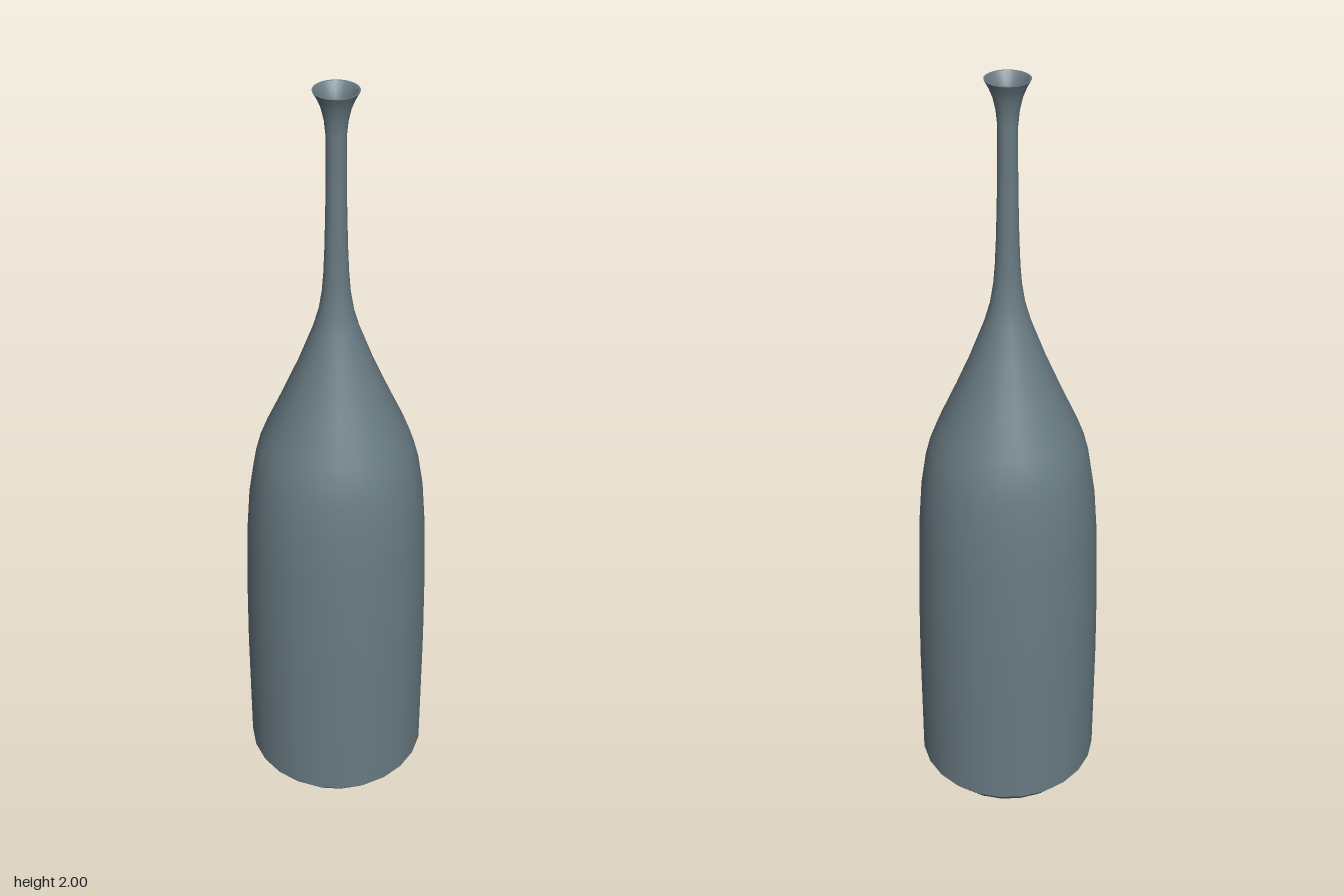
import * as THREE from 'three';

const SIDES = 24;

export function createModel() {
  const bottle = new THREE.Group();
  bottle.name = 'bottle';
  const glass = new THREE.MeshStandardMaterial({ color: 0x687a82 });
  glass.name = 'slate glass';

  // Each profile is a list of [radius, height]; separate lathes keep their shared edges sharp
  const turn = (name, profile) => {
    const points = profile.map(([r, y]) => new THREE.Vector2(r, y));
    const mesh = new THREE.Mesh(new THREE.LatheGeometry(points, SIDES), glass);
    mesh.name = name;
    bottle.add(mesh);
  };

  const outer = [
    [0.24, 0.045], [0.24, 0.4], [0.237, 0.6], [0.23, 0.8], [0.221, 0.92],
    [0.207, 1.01], [0.194, 1.06], [0.175, 1.11], [0.135, 1.2], [0.093, 1.3],
    [0.056, 1.4], [0.042, 1.45], [0.034, 1.5], [0.03, 1.55], [0.027, 1.62],
    [0.024, 1.75], [0.023, 1.89], [0.027, 1.93], [0.034, 1.96],
    [0.043, 1.982], [0.053, 2],
  ];
  // The inner wall follows the outer one, a little thinner, from the lip down
  const wall = 0.007;
  const inner = outer.map(([r, y]) => [r - wall, y]).reverse();
  inner[0] = [0.049, 2];
  const floor = inner[inner.length - 1];

  turn('bottom', [[0, 0], [0.203, 0]]);
  turn('baseBevel', [[0.203, 0], [0.24, 0.045]]);
  turn('body', outer);
  turn('lip', [[0.053, 2], [0.049, 2]]);
  turn('innerWall', inner);
  turn('innerFloor', [floor, [0, floor[1]]]);

  return bottle;
}
